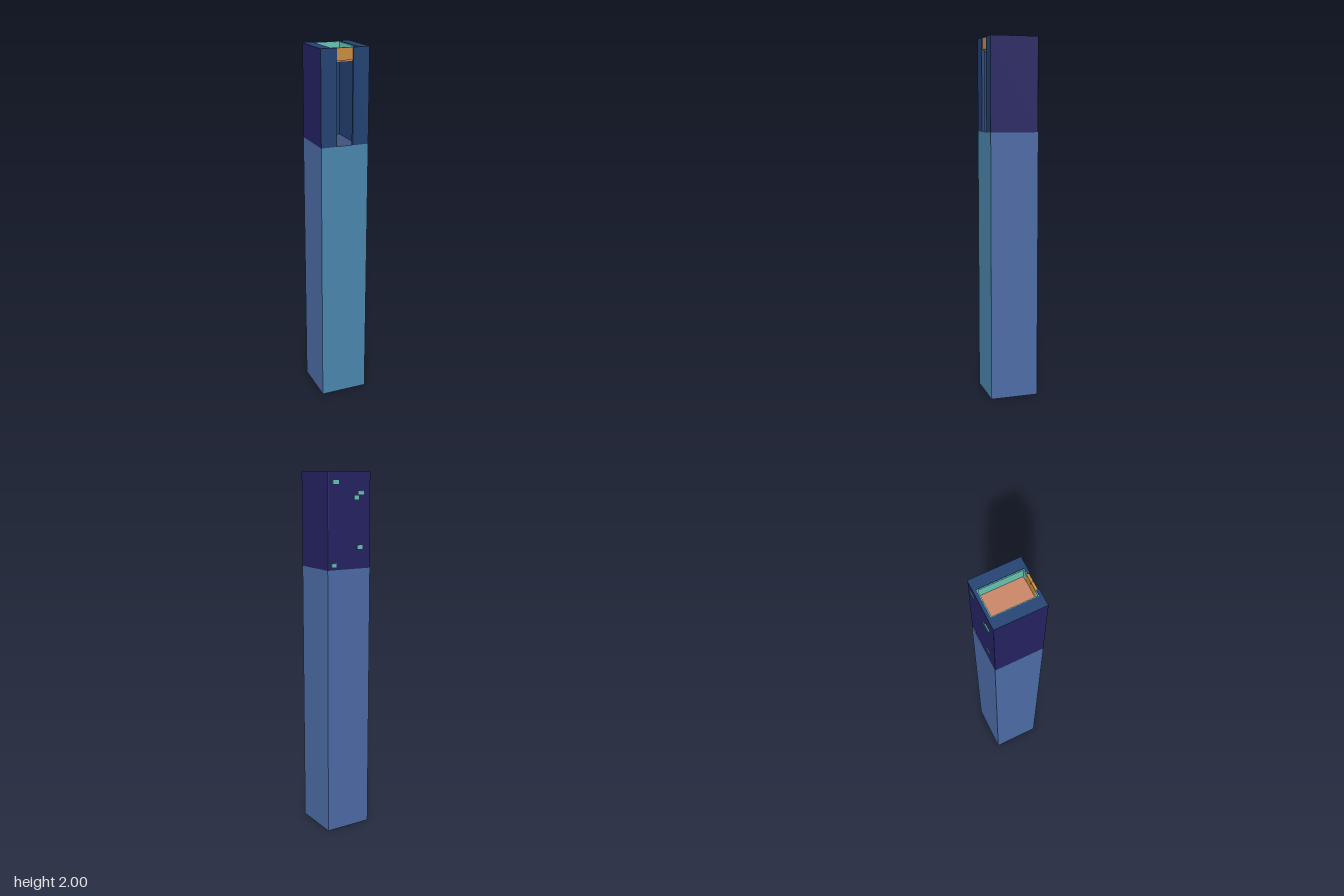
import * as THREE from 'three';

const material = (name, color, side = THREE.FrontSide) => {
  const m = new THREE.MeshStandardMaterial({ color, side });
  m.name = name;
  return m;
};

export function createModel() {
  const group = new THREE.Group();
  const frontBlue = material('front blue', 0x4a86ae, THREE.DoubleSide);
  const sideBlue = material('side blue', 0x4d6ca7, THREE.DoubleSide);
  const navy = material('navy', 0x224273);
  const indigo = material('indigo', 0x242262);
  const teal = material('teal', 0x68c5b4);
  const salmon = material('salmon', 0xc98567);
  const orange = material('orange', 0xc98d40);
  const slate = material('slate', 0x42527c);

  const add = (name, geometry, mat) => {
    const mesh = new THREE.Mesh(geometry, mat);
    mesh.name = name;
    group.add(mesh);
    return mesh;
  };
  // Box given by its extents along each axis
  const box = (name, mat, x0, x1, y0, y1, z0, z1) =>
    add(name, new THREE.BoxGeometry(x1 - x0, y1 - y0, z1 - z0), mat)
      .position.set((x0 + x1) / 2, (y0 + y1) / 2, (z0 + z1) / 2);

  const W = 0.134, BACK = -0.132, FRONT = 0.137, SPLIT = 1.49, TOP = 2;
  const FLOOR = 1.935, WELL = 0.075, WELL_BACK = -0.115, WELL_FRONT = 0.122, SLOT = 0.045;

  // Hollow shaft, open at both ends
  const shaft = new THREE.BoxGeometry(2 * W, SPLIT, FRONT - BACK);
  shaft.groups = shaft.groups.filter((g) => g.materialIndex !== 2 && g.materialIndex !== 3);
  add('shaft', shaft, [sideBlue, sideBlue, sideBlue, sideBlue, frontBlue, sideBlue])
    .position.set(0, SPLIT / 2, (FRONT + BACK) / 2);

  // Upper block: C-shaped plan with a chamber that opens through the front slot
  const r = 0.006;
  const half = [
    [SLOT, WELL_FRONT], [SLOT, FRONT], [W, FRONT], [W, BACK + r],
    [W - r * 0.3, BACK + r * 0.3], [W - r, BACK],
  ];
  const inner = [[-SLOT, WELL_FRONT], [-WELL, WELL_FRONT], [-WELL, WELL_BACK], [WELL, WELL_BACK], [WELL, WELL_FRONT]];
  const outline = [...half, ...half.map(([x, z]) => [-x, z]).reverse(), ...inner.slice(1)];
  const plan = new THREE.Shape(outline.map(([x, z]) => new THREE.Vector2(x, -z)));
  const block = new THREE.ExtrudeGeometry(plan, { depth: TOP - SPLIT, bevelEnabled: false });
  block.rotateX(-Math.PI / 2).translate(0, SPLIT, 0);
  // Outer sides and back are indigo, all other faces navy
  const p = block.attributes.position, n = block.attributes.normal;
  block.clearGroups();
  for (let i = 0; i < p.count; i += 3) {
    const upright = Math.abs(n.getY(i)) < 0.5;
    const x = Math.abs(p.getX(i) + p.getX(i + 1) + p.getX(i + 2)) / 3;
    const z = (p.getZ(i) + p.getZ(i + 1) + p.getZ(i + 2)) / 3;
    const outer = upright && n.getZ(i) < 0.5 && (x > 0.126 || z < -0.125);
    block.addGroup(i, 3, outer ? 1 : 0);
  }
  add('upperBlock', block, [navy, indigo]);

  // Chamber floor and its front lip
  box('chamberFloor', slate, -W + 0.002, W - 0.002, SPLIT - 0.006, SPLIT - 0.001, BACK + 0.002, FRONT - 0.002);
  box('slotLip', teal, -SLOT, SLOT, SPLIT - 0.002, SPLIT + 0.001, 0.131, FRONT);

  // Shallow tray in the top: salmon floor with a thin teal lining
  box('trayFloor', salmon, -WELL, WELL, FLOOR - 0.01, FLOOR, WELL_BACK, WELL_FRONT - 0.004);
  const t = 0.005, rim = TOP - 0.003;
  box('trayLiningBack', teal, -WELL, WELL, FLOOR, rim, WELL_BACK, WELL_BACK + t);
  for (const s of [-1, 1]) {
    const [a, b] = [s * WELL, s * (WELL - t)].sort((u, v) => u - v);
    box('trayLiningSide', teal, a, b, FLOOR, rim, WELL_BACK, WELL_FRONT);
    const [c, d] = [s * SLOT, s * WELL].sort((u, v) => u - v);
    box('trayLiningFront', teal, c, d, FLOOR, rim, WELL_FRONT - t, WELL_FRONT);
    // Two-leaf gate closing the top of the slot
    const [e, f] = [s * 0.0005, s * (SLOT - 0.001)].sort((u, v) => u - v);
    box('gateLeaf', orange, e, f, FLOOR, TOP - 0.001, 0.118, 0.131);
  }

  // Small studs on the back: x, y, width, thickness
  const studs = [
    [0.085, 1.945, 0.035, 0.003],
    [-0.07, 1.89, 0.036, 0.006],
    [-0.043, 1.865, 0.028, 0.004],
    [-0.066, 1.605, 0.03, 0.004],
    [0.097, 1.515, 0.028, 0.003],
  ];
  for (const [x, y, w, d] of studs)
    box('backStud', teal, x - w / 2, x + w / 2, y - 0.01, y + 0.01, BACK - d, BACK + 0.002);

  return group;
}
